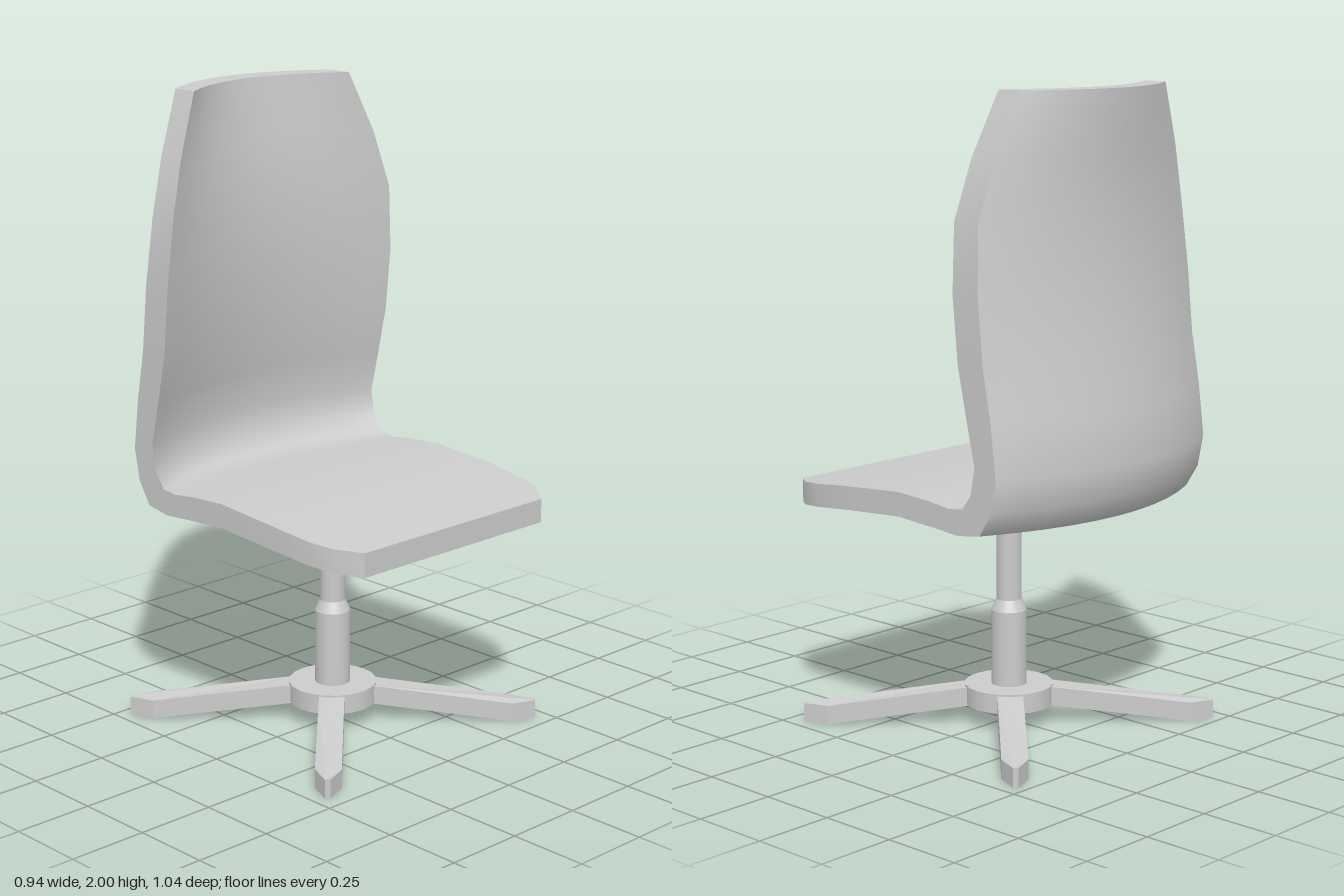
import * as THREE from 'three';
import { mergeGeometries } from 'three/addons/utils/BufferGeometryUtils.js';

const material = new THREE.MeshStandardMaterial({ color: 0xcccccc });

// Smooth patch from point(i, j); it faces along (i direction) x (j direction)
function patch(ni, nj, point) {
  const positions = [], indices = [];
  for (let j = 0; j <= nj; j++) {
    for (let i = 0; i <= ni; i++) positions.push(...point(i, j));
  }
  for (let j = 0; j < nj; j++) {
    for (let i = 0; i < ni; i++) {
      const a = j * (ni + 1) + i, b = a + 1, c = a + ni + 1, d = c + 1;
      indices.push(a, b, d, a, d, c);
    }
  }
  const geometry = new THREE.BufferGeometry();
  geometry.setAttribute('position', new THREE.Float32BufferAttribute(positions, 3));
  geometry.setIndex(indices);
  geometry.computeVertexNormals();
  return geometry;
}

// Stations from the seat's front edge to the top of the back:
// [inner z, inner y, outer z, outer y, half width, backward bow at the centre]
const stations = [
  [0.52, 0.76, 0.52, 0.685, 0.38, 0],
  [0.45, 0.768, 0.45, 0.695, 0.435, 0],
  [0.37, 0.777, 0.365, 0.705, 0.46, 0],
  [0.23, 0.793, 0.22, 0.72, 0.47, 0],
  [0, 0.81, 0, 0.735, 0.47, 0],
  [-0.13, 0.802, -0.15, 0.725, 0.47, 0.02],
  [-0.21, 0.792, -0.25, 0.717, 0.47, 0.06],
  [-0.265, 0.797, -0.335, 0.73, 0.47, 0.12],
  [-0.3, 0.845, -0.38, 0.8, 0.47, 0.12],
  [-0.315, 0.93, -0.4, 0.9, 0.47, 0.12],
  [-0.285, 1.06, -0.38, 1.06, 0.47, 0.12],
  [-0.25, 1.22, -0.35, 1.22, 0.47, 0.12],
  [-0.23, 1.42, -0.33, 1.42, 0.47, 0.115],
  [-0.22, 1.63, -0.315, 1.63, 0.452, 0.118],
  [-0.24, 1.81, -0.33, 1.81, 0.4, 0.115],
  [-0.27, 2, -0.355, 2, 0.32, 0.112],
];

function createShell() {
  const across = 10, last = stations.length - 1;
  // side 0 is the sitting surface, side 1 the underside and rear
  const at = (i, s, side) => {
    const [zi, yi, zo, yo, halfWidth, bow] = stations[s];
    const u = (2 * i) / across - 1;
    return [u * halfWidth, side ? yo : yi, (side ? zo : zi) - bow * (1 - u * u)];
  };
  return mergeGeometries([
    patch(across, last, (i, j) => at(i, j, 0)),
    patch(across, last, (i, j) => at(across - i, j, 1)),
    patch(1, last, (i, j) => at(across, j, i)),
    patch(1, last, (i, j) => at(0, j, 1 - i)),
    patch(across, 1, (i, j) => at(i, 0, 1 - j)),
    patch(across, 1, (i, j) => at(i, last, j)),
  ]);
}

// Flat bar with a pointed end, bent down from the hub to the floor
function createLeg() {
  const outline = [[0.1, -0.04], [0.57, -0.04], [0.645, -0.008], [0.645, 0.008], [0.57, 0.04], [0.1, 0.04]];
  const shape = new THREE.Shape(outline.map(([x, y]) => new THREE.Vector2(x, y)));
  const geometry = new THREE.ExtrudeGeometry(shape, { depth: 0.06, bevelEnabled: false });
  geometry.rotateX(-Math.PI / 2);
  const p = geometry.attributes.position;
  for (let i = 0; i < p.count; i++) {
    const t = THREE.MathUtils.clamp((p.getX(i) - 0.1) / 0.47, 0, 1);
    p.setY(i, p.getY(i) + 0.06 * (1 - t));
  }
  geometry.computeVertexNormals();
  return geometry;
}

export function createModel() {
  const model = new THREE.Group();
  const add = (parent, name, geometry, y = 0) => {
    const mesh = new THREE.Mesh(geometry, material);
    mesh.name = name;
    mesh.position.y = y;
    parent.add(mesh);
    return mesh;
  };

  add(model, 'seatShell', createShell());

  // Pedestal
  const base = new THREE.Group();
  base.name = 'base';
  base.position.z = -0.01;
  model.add(base);
  add(base, 'column', new THREE.CylinderGeometry(0.04, 0.04, 0.36, 20), 0.56);
  add(base, 'collarTaper', new THREE.CylinderGeometry(0.04, 0.056, 0.035, 20, 1, true), 0.3775);
  add(base, 'collar', new THREE.CylinderGeometry(0.056, 0.056, 0.25, 20), 0.235);
  add(base, 'hub', new THREE.CylinderGeometry(0.14, 0.14, 0.062, 20), 0.09);

  // Four diagonal legs
  const leg = createLeg();
  for (let k = 0; k < 4; k++) {
    add(base, 'leg', leg).rotation.y = Math.PI / 4 + (k * Math.PI) / 2;
  }
  return model;
}
